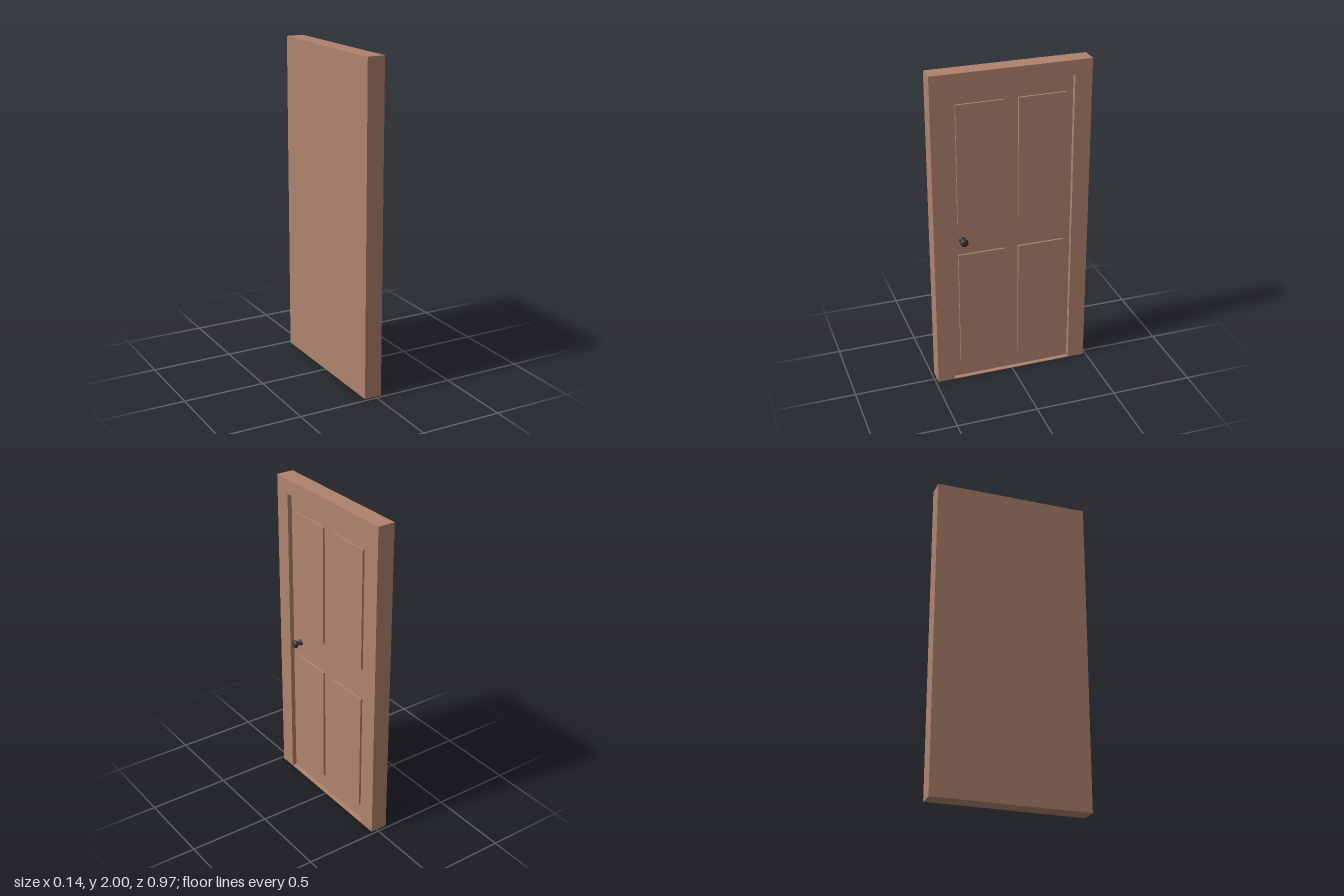
import * as THREE from 'three';

const BACK = -0.07, LEAF = 0.01, FRONT = 0.038;   // depths along x
const HALF_W = 0.483, HEIGHT = 2;

export function createModel() {
  const door = new THREE.Group();
  door.name = 'door';
  const wood = new THREE.MeshStandardMaterial({ color: 0xb0836e });
  const metal = new THREE.MeshStandardMaterial({ color: 0x333333 });

  const add = (name, geometry, material) => {
    const mesh = new THREE.Mesh(geometry, material);
    mesh.name = name;
    door.add(mesh);
    return mesh;
  };
  const addBox = (name, x0, x1, y0, y1, z0, z1) => add(name,
    new THREE.BoxGeometry(x1 - x0, y1 - y0, z1 - z0), wood)
    .position.set((x0 + x1) / 2, (y0 + y1) / 2, (z0 + z1) / 2);
  const rectangle = (path, half, y0, y1) => path
    .moveTo(-half, y0).lineTo(half, y0).lineTo(half, y1).lineTo(-half, y1).closePath();

  // Door leaf with its solid back
  addBox('doorLeaf', BACK, LEAF, 0, HEIGHT, -HALF_W, HALF_W);

  // Frame standing proud of the leaf, with a very thin sill
  const outline = rectangle(new THREE.Shape(), HALF_W, 0, HEIGHT);
  outline.holes.push(rectangle(new THREE.Path(), 0.378, 0.003, 1.91));
  const frame = new THREE.ExtrudeGeometry(outline, { depth: FRONT - LEAF, bevelEnabled: false });
  frame.rotateY(Math.PI / 2).translate(LEAF, 0, 0);
  add('frame', frame, wood);

  // Four raised panels
  for (const [y0, y1] of [[0.105, 0.86], [1.06, 1.81]]) {
    for (const [z0, z1] of [[-0.331, -0.044], [0.044, 0.331]]) {
      addBox('raisedPanel', LEAF, LEAF + 0.013, y0, y1, z0, z1);
    }
  }

  // Knob turned in one piece: rosette, neck and flattened ball
  const profile = [
    [0, 0], [0.02, 0], [0.02, 0.004], [0.016, 0.007], [0.01, 0.009], [0.009, 0.025],
    [0.017, 0.028], [0.023, 0.034], [0.0245, 0.041], [0.023, 0.048],
    [0.018, 0.053], [0.01, 0.056], [0, 0.057],
  ].map(([r, h]) => new THREE.Vector2(r, h));
  const knob = new THREE.LatheGeometry(profile, 24);
  knob.rotateZ(-Math.PI / 2);
  add('knob', knob, metal).position.set(LEAF, 0.955, 0.302);

  return door;
}
